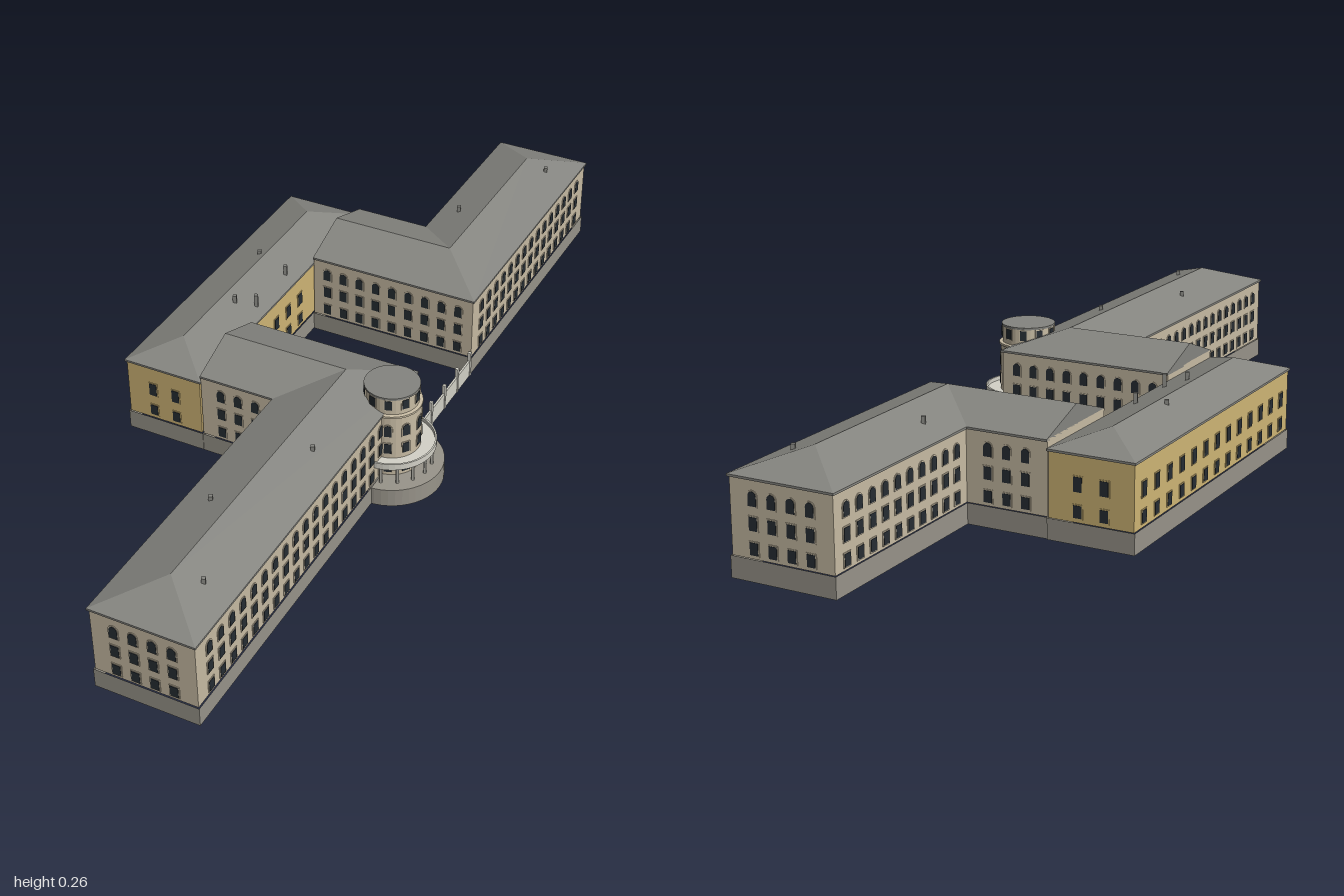
import * as THREE from 'three';
import { mergeGeometries } from 'three/addons/utils/BufferGeometryUtils.js';

const mat = (color) => new THREE.MeshStandardMaterial({ color, side: THREE.DoubleSide, flatShading: true });
const EAVE = 0.213, RIDGE = 0.257, PLINTH = 0.047, SPACING = 0.0445;

export function createModel() {
  const root = new THREE.Group();
  root.name = 'buildingComplex';
  const site = new THREE.Group();
  site.name = 'rotatedSite';
  site.rotation.y = -0.391;
  root.add(site);

  const stone = mat(0xc8bca4), plinthMat = mat(0x98948a), ochre = mat(0xd0b676);
  const roofMat = mat(0x858580), glass = mat(0x262d33), trim = mat(0xd4d2c8);

  const add = (parent, name, geo, material) => {
    const m = new THREE.Mesh(geo, material);
    m.name = name;
    parent.add(m);
    return m;
  };

  // Flat polygons (triangle fans) joined into one surface
  const surface = (polys) => {
    const pos = [];
    for (const p of polys)
      for (let i = 1; i < p.length - 1; i++) pos.push(...p[0], ...p[i], ...p[i + 1]);
    const g = new THREE.BufferGeometry();
    g.setAttribute('position', new THREE.Float32BufferAttribute(pos, 3));
    g.computeVertexNormals();
    return g;
  };

  // Open ring of vertical walls round a ground plan of [x, z] corners
  const walls = (plan, y0, y1) => surface(plan.map(([ax, az], i) => {
    const [bx, bz] = plan[(i + 1) % plan.length];
    return [[ax, y0, az], [bx, y0, bz], [bx, y1, bz], [ax, y1, az]];
  }));

  // Window outline standing on y = 0, with a round or square head
  const pane = (w, h, arched, depth) => {
    const s = new THREE.Shape();
    s.moveTo(-w / 2, 0);
    s.lineTo(w / 2, 0);
    if (arched) {
      s.lineTo(w / 2, h - w / 2);
      s.absarc(0, h - w / 2, w / 2, 0, Math.PI, false);
    } else {
      s.lineTo(w / 2, h);
      s.lineTo(-w / 2, h);
    }
    return new THREE.ExtrudeGeometry(s, { depth, bevelEnabled: false, curveSegments: 5 });
  };

  // Collects windows and their frames, then adds each set as one mesh
  const windowSet = () => {
    const panes = [], frames = [];
    return {
      put(x, y, z, angle, w, h, arched) {
        const place = (g, dy) => g.rotateY(angle).translate(x, y + dy, z);
        panes.push(place(pane(w, h, arched, 0.0025), 0));
        frames.push(place(pane(w + 0.005, h + 0.005, arched, 0.0015), -0.0025));
      },
      finish(parent, frameMat) {
        add(parent, 'windowPanes', mergeGeometries(panes), glass);
        add(parent, 'windowFrames', mergeGeometries(frames), frameMat);
      },
    };
  };

  // Rows of windows along every edge of a plan not listed in skip
  const windowsRound = (parent, plan, rows, spacing, skip, frameMat) => {
    const set = windowSet();
    const area = plan.reduce((a, [x, z], i) => {
      const [X, Z] = plan[(i + 1) % plan.length];
      return a + x * Z - X * z;
    }, 0);
    const sign = Math.sign(area);
    plan.forEach(([ax, az], i) => {
      if (skip.includes(i)) return;
      const [bx, bz] = plan[(i + 1) % plan.length];
      const dx = bx - ax, dz = bz - az, len = Math.hypot(dx, dz);
      const n = Math.max(1, Math.floor((len - 0.02) / spacing));
      const angle = Math.atan2(dz * sign, -dx * sign);
      for (let k = 0; k < n; k++) {
        const f = 0.5 + ((k - (n - 1) / 2) * spacing) / len;
        for (const [y, w, h, arched] of rows) set.put(ax + dx * f, y, az + dz * f, angle, w, h, arched);
      }
    });
    set.finish(parent, frameMat);
  };

  // L-shaped wing with a hipped outer end and a gabled link
  const X0 = -0.28, XI = -0.092, X1 = 0.156, XR = (XI + X1) / 2;
  const wing = (name, zCourt, zLink, zEnd) => {
    const g = new THREE.Group();
    g.name = name;
    site.add(g);
    const dir = Math.sign(zEnd - zCourt);
    const plan = (d) => {
      const e = d * dir;
      return [[X0, zCourt + e], [X1 - d, zCourt + e], [X1 - d, zEnd - e],
        [XI + d, zEnd - e], [XI + d, zLink - e], [X0, zLink - e]];
    };
    add(g, 'plinth', walls(plan(0.001), 0, PLINTH), plinthMat);
    add(g, 'walls', walls(plan(0.004), PLINTH, EAVE), stone);
    add(g, 'eaves', walls(plan(0), EAVE - 0.005, EAVE), roofMat);
    const rows = [[0.055, 0.019, 0.026, false], [0.105, 0.019, 0.028, false], [0.155, 0.019, 0.03, true]];
    windowsRound(g, plan(0.004), rows, SPACING, [5], stone);

    const zr = (zCourt + zLink) / 2;
    const gable = [X0, RIDGE, zr], corner = [XR, RIDGE, zr];
    const end = [XR, RIDGE, zEnd - dir * 0.12];
    const [a, b, c, d, e, f] = plan(0).map(([x, z]) => [x, EAVE, z]);
    add(g, 'roof', surface([
      [a, b, corner, gable], [b, c, end, corner], [c, d, end],
      [d, e, corner, end], [e, f, gable, corner], [f, a, gable],
    ]), roofMat);
  };
  wing('southWing', 0.009, 0.25, 1.008);
  wing('northWing', -0.303, -0.56, -1.04);

  // Lower ochre block joining both links
  const block = new THREE.Group();
  block.name = 'rearBlock';
  site.add(block);
  const zA = -0.563, zB = 0.25, xA = -0.482, low = 0.195;
  const rearPlan = (d) => [[xA + d, zA + d], [X0 - d, zA + d], [X0 - d, -0.303],
    [X0 - d, 0.009], [X0 - d, zB - d], [xA + d, zB - d]];
  add(block, 'plinth', walls(rearPlan(0.001), 0, PLINTH), plinthMat);
  add(block, 'walls', walls(rearPlan(0.004), PLINTH, low), ochre);
  add(block, 'eaves', walls(rearPlan(0), low - 0.005, low), roofMat);
  windowsRound(block, rearPlan(0.004),
    [[0.057, 0.019, 0.027, false], [0.113, 0.019, 0.032, false]], 0.06, [1, 3], ochre);
  const xm = (xA + X0) / 2, r1 = [xm, 0.231, zA + 0.1], r2 = [xm, 0.231, zB - 0.1];
  const nw = [xA, low, zA], ne = [X0, low, zA], se = [X0, low, zB], sw = [xA, low, zB];
  add(block, 'roof', surface([[nw, ne, r1], [ne, se, r2, r1], [se, sw, r2], [sw, nw, r1, r2]]), roofMat);

  // Round tower at the entrance corner
  const tower = new THREE.Group();
  tower.name = 'tower';
  tower.position.set(0.146, 0, 0.126);
  site.add(tower);
  const lathe = (pts, segs, start, len) =>
    new THREE.LatheGeometry(pts.map(([x, y]) => new THREE.Vector2(x, y)), segs, start, len);
  add(tower, 'towerShaft', lathe([[0.067, 0], [0.067, 0.205], [0.07, 0.207], [0.07, 0.212],
    [0.062, 0.213], [0.062, 0.253]], 32), stone);
  add(tower, 'towerCap', new THREE.CylinderGeometry(0.064, 0.064, 0.005, 32).translate(0, 0.2555, 0), roofMat);
  add(tower, 'towerBase', lathe([[0.122, 0], [0.122, 0.045], [0.066, 0.046]], 24, 0, Math.PI), plinthMat);
  add(tower, 'balcony', lathe([[0.067, 0.088], [0.103, 0.088], [0.103, 0.104], [0.099, 0.104],
    [0.099, 0.094], [0.067, 0.094]], 24, 0, Math.PI), trim);
  const columns = [];
  for (let i = 0; i < 8; i++) {
    const a = (i + 0.5) * Math.PI / 8;
    columns.push(new THREE.CylinderGeometry(0.004, 0.004, 0.044, 8)
      .translate(Math.sin(a) * 0.095, 0.067, Math.cos(a) * 0.095));
  }
  add(tower, 'porchColumns', mergeGeometries(columns), trim);
  const towerWindows = windowSet();
  for (let i = 0; i < 10; i++) {
    const a = (i + 0.5) * Math.PI / 5, s = Math.sin(a), c = Math.cos(a);
    towerWindows.put(s * 0.0615, 0.226, c * 0.0615, a, 0.016, 0.024, false);
    if (s > 0.2) {
      towerWindows.put(s * 0.0665, 0.055, c * 0.0665, a, 0.018, 0.028, false);
      towerWindows.put(s * 0.0665, 0.108, c * 0.0665, a, 0.017, 0.026, false);
      towerWindows.put(s * 0.0665, 0.155, c * 0.0665, a, 0.017, 0.03, true);
    }
  }
  towerWindows.finish(tower, stone);

  // Courtyard wall with posts between the two wings
  add(site, 'courtyardWall', new THREE.BoxGeometry(0.005, 0.045, 0.312).translate(0.153, 0.0225, -0.147), trim);
  for (let i = 0; i < 5; i++)
    add(site, 'wallPost', new THREE.BoxGeometry(0.008, 0.068, 0.008)
      .translate(0.153, 0.034, 0.0 - i * 0.074), trim);

  // Small roof vents: x, z, top height
  for (const [x, z, top] of [[0.43, -0.81, 0.248], [0.21, -0.6, 0.248], [-0.07, 0.4, 0.248],
    [-0.265, 0.58, 0.248], [-0.245, 0.83, 0.248], [-0.275, -0.38, 0.234],
    [-0.205, -0.32, 0.23], [-0.26, -0.18, 0.236], [-0.31, -0.17, 0.238]])
    add(root, 'roofVent', new THREE.BoxGeometry(0.009, 0.035, 0.009).translate(x, top - 0.0175, z), roofMat);

  return root;
}
